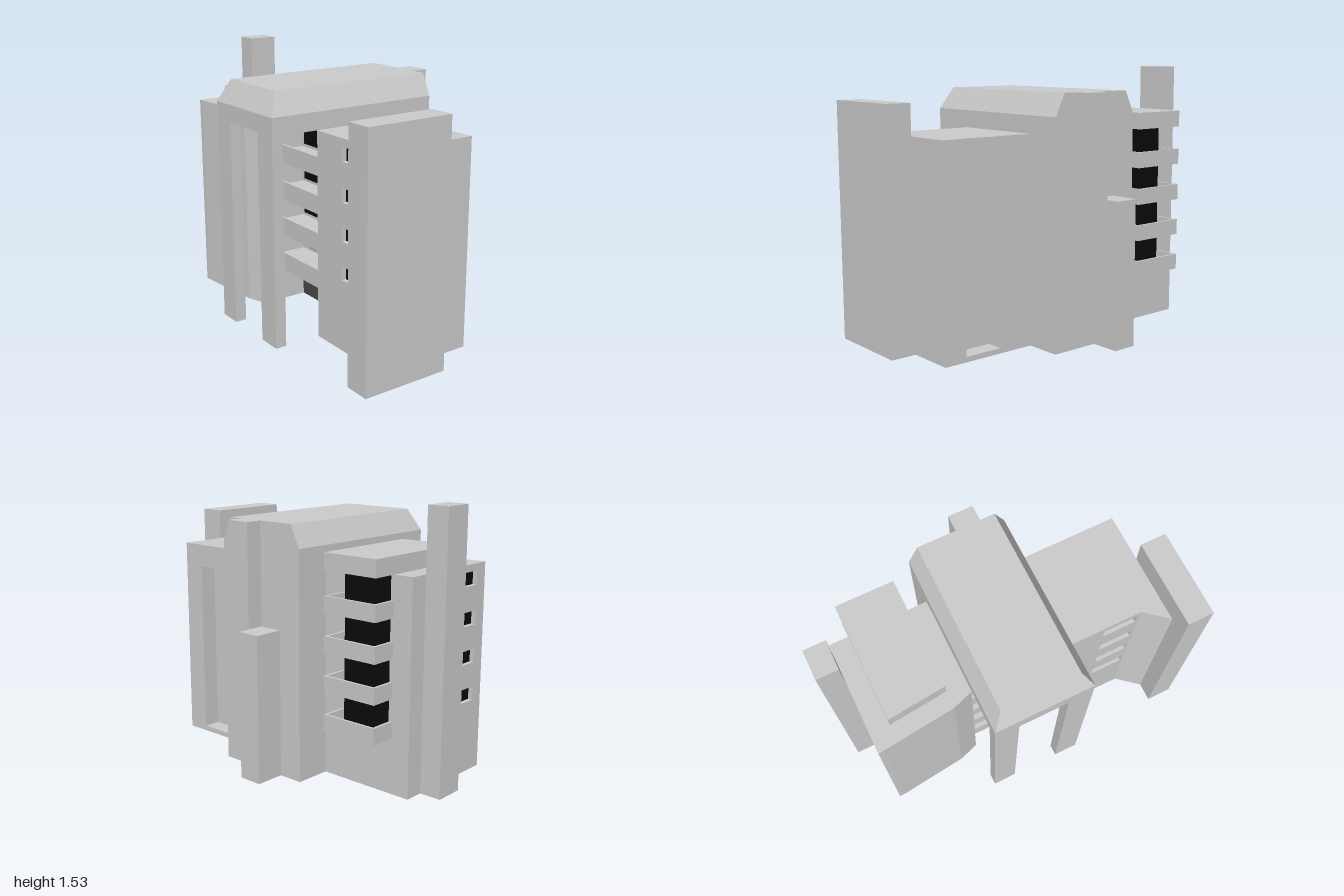
import * as THREE from 'three';

const grey = new THREE.MeshStandardMaterial({ color: 0xcccccc, flatShading: true });
const black = new THREE.MeshStandardMaterial({ color: 0x0a0a0a });
const dark = new THREE.MeshStandardMaterial({ color: 0x4a4a4a });

export function createModel() {
  const root = new THREE.Group();

  const add = (name, geo, mat = grey) => {
    const mesh = new THREE.Mesh(geo, mat);
    mesh.name = name;
    root.add(mesh);
    return mesh;
  };
  // Box given by its limits on each axis
  const box = (name, x0, x1, y0, y1, z0, z1, mat) =>
    add(name, new THREE.BoxGeometry(x1 - x0, y1 - y0, z1 - z0)
      .translate((x0 + x1) / 2, (y0 + y1) / 2, (z0 + z1) / 2), mat);
  // Vertical prism over a plan of [x, z] corners
  const prism = (name, plan, y0, y1) => {
    const shape = new THREE.Shape(plan.map(([x, z]) => new THREE.Vector2(x, -z)));
    return add(name, new THREE.ExtrudeGeometry(shape, { depth: y1 - y0, bevelEnabled: false })
      .rotateX(-Math.PI / 2).translate(0, y0, 0));
  };
  const rectangle = (T, a0, a1, b0, b1) => new T([[a0, b0], [a1, b0], [a1, b1], [a0, b1]]
    .map(([a, b]) => new THREE.Vector2(a, b)));
  // Wall with a column of window holes, extruded along +z
  const windowWall = (a0, a1, top, w0, w1, thick) => {
    const shape = rectangle(THREE.Shape, a0, a1, 0, top);
    for (const y of windowRows) shape.holes.push(rectangle(THREE.Path, w0, w1, y, y + 0.078));
    return new THREE.ExtrudeGeometry(shape, { depth: thick, bevelEnabled: false });
  };

  const H = 1.185, T = 0.03;
  const floors = [0.29, 0.505, 0.72, 0.935];
  const windowRows = [0.41, 0.627, 0.843, 1.062];

  // Central block, overhanging roof and front pillars
  box('centralBlock', -0.3, 0.275, 0, H, -0.45, 0.04);
  box('canopy', -0.3, 0.275, H, 1.285, -0.45, 0.61);
  const roof = new THREE.BoxGeometry(0.575, 0.125, 1.06);
  const p = roof.attributes.position;
  for (let i = 0; i < p.count; i++) {
    if (p.getY(i) < 0) continue;
    p.setX(i, p.getX(i) - Math.sign(p.getX(i)) * 0.06);
    if (p.getZ(i) > 0) p.setZ(i, p.getZ(i) - 0.06);
  }
  roof.computeVertexNormals();
  add('chamferedRoof', roof.translate(-0.0125, 1.3475, 0.08));
  box('leftPillar', -0.3, -0.16, 0, H, 0.545, 0.61);
  box('rightPillar', 0.13, 0.275, 0, H, 0.545, 0.61);

  // Recessed front balconies with paired windows
  for (const y of floors) {
    box('balconyFloor', -0.3, 0.275, y, y + 0.012, 0.04, 0.33);
    box('balconyParapet', -0.3, 0.275, y, y + 0.105, 0.315, 0.33);
    box('balconyWindow', -0.28, -0.017, y + 0.03, y + 0.207, 0.04, 0.045, black);
    box('balconyWindow', -0.005, 0.26, y + 0.03, y + 0.207, 0.04, 0.045, black);
  }
  box('entrance', -0.3, 0.275, 0, 0.205, 0.04, 0.045, dark);
  box('lintel', -0.3, 0.275, 1.15, H, 0.04, 0.047, dark);

  // Right wing with a tall niche in its back
  const front = 0.33 - T;
  const solid = [[0.275, -0.24], [0.85, -0.24], [0.85, 0.44], [0.72, 0.33], [0.72, front], [0.275, front]];
  const niche = [[0.275, -0.24], [0.488, -0.24], [0.488, -0.14], [0.715, -0.14], [0.715, -0.24], ...solid.slice(1)];
  prism('rightWingBase', solid, 0, 0.03);
  prism('rightWing', niche, 0.03, 1.055);
  prism('rightWingTop', solid, 1.055, H);
  add('rightWingFrontWall', windowWall(0.275, 0.72, H, 0.5, 0.7, T).translate(0, 0, front));
  for (const y of windowRows) box('frontWindow', 0.5, 0.7, y, y + 0.078, front, front + 0.004, black);
  box('endSlab', 0.85, 1, 0, 1.36, 0.04, 0.55);

  // Left wing with windows in its side wall
  const HL = 1.18, side = -0.875;
  prism('leftWing', [[side + T, -0.24], [-0.3, -0.24], [-0.3, 0.33], [-0.42, 0.37], [side + T, 0.417]], 0, HL);
  add('leftWingSideWall', windowWall(-0.24, 0.418, HL, 0.14, 0.34, T)
    .rotateY(-Math.PI / 2).translate(side + T, 0, 0));
  for (const y of windowRows) box('sideWindow', side + T - 0.004, side + T, y, y + 0.078, 0.14, 0.34, black);
  box('chimneyTower', -1, side, 0, 1.53, -0.13, 0.04);
  prism('raisedRoof', [[-0.76, -0.39], [-0.42, -0.39], [-0.42, 0.27], [-0.76, 0.305]], HL, 1.275);

  // Rear balconies in front of a dark glazed strip
  box('rearGlazing', -0.74, -0.44, 0.31, HL, -0.246, -0.24, black);
  for (const y of floors) {
    const y0 = y + 0.02, y1 = y + 0.112;
    box('rearBalconyFloor', -0.76, -0.42, y0, y0 + 0.012, -0.39, -0.24);
    box('rearBalconyFront', -0.76, -0.42, y0, y1, -0.39, -0.375);
    box('rearBalconySide', -0.76, -0.745, y0, y1, -0.375, -0.24);
    box('rearBalconySide', -0.435, -0.42, y0, y1, -0.375, -0.24);
  }

  // Shafts on the back of the central block
  box('lowShaft', -0.155, -0.015, 0, 0.83, -0.62, -0.45);
  box('hangingShaft', -0.015, 0.13, 0.5, 1.41, -0.545, -0.45);

  return root;
}
